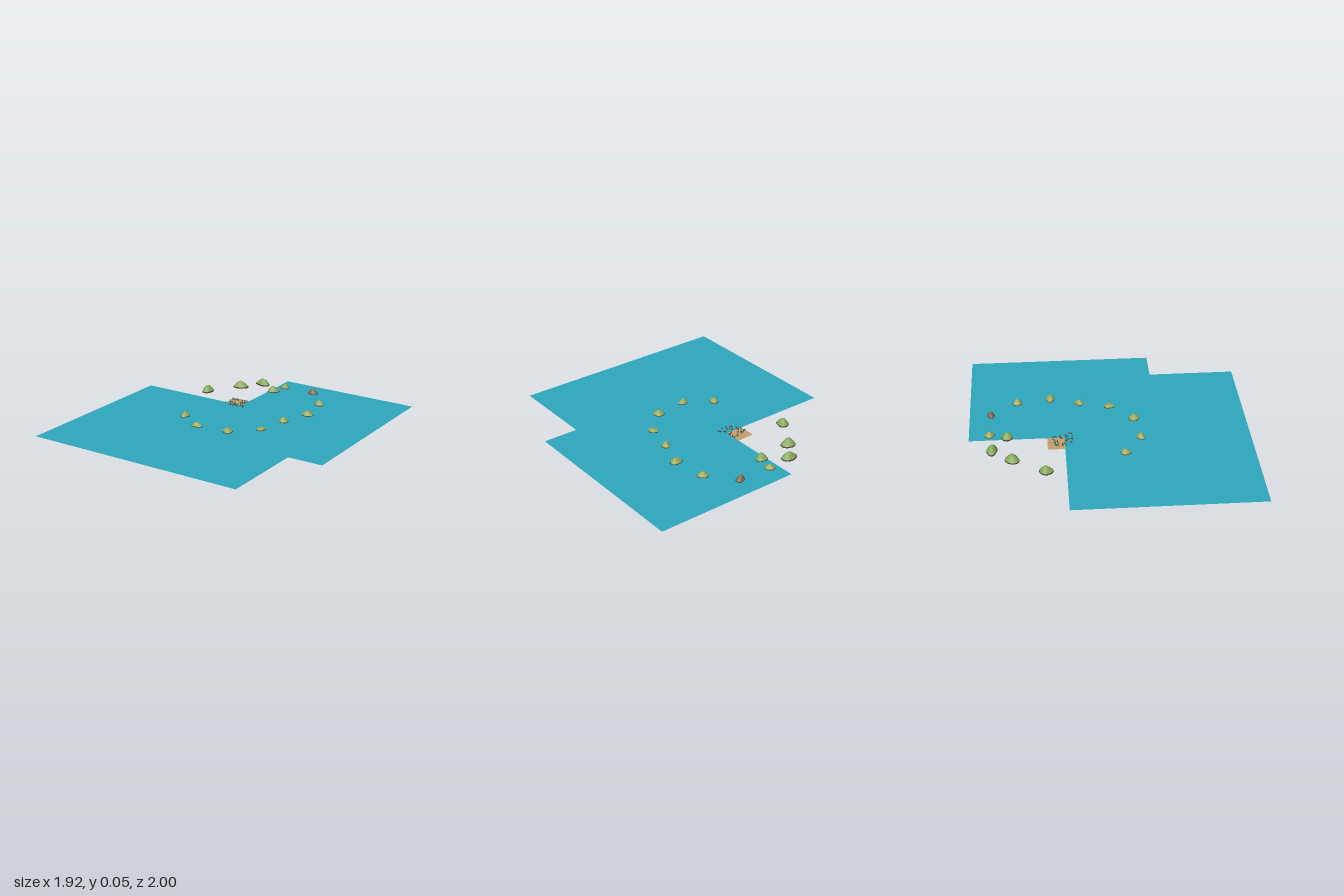
import * as THREE from 'three';

const mat = (name, color, extra = {}) =>
  Object.assign(new THREE.MeshStandardMaterial({ color, ...extra }), { name });

// small seeded generator
function seeded(seed) {
  return () => {
    seed = (seed * 16807) % 2147483647;
    return seed / 2147483647;
  };
}

export function createModel() {
  const group = new THREE.Group();
  const rand = seeded(4211);
  const water = mat('water blue', 0x2ea9bd, { side: THREE.DoubleSide });
  const sand = mat('sand', 0xc79f6b, { side: THREE.DoubleSide });
  const grass = mat('grass green', 0x86a85a);
  const dryGrass = mat('dry grass', 0x9ca85c);
  const earth = mat('earth brown', 0x5c4838);
  const stone = mat('bare stone', 0x7d7052);
  const teal = mat('teal fleck', 0x2f8f86);

  const add = (name, geometry, material, parent = group) => {
    const mesh = new THREE.Mesh(geometry, material);
    mesh.name = name;
    parent.add(mesh);
    return mesh;
  };

  // flat sheet of water with two notched corners, given as x, z
  const outline = [[-0.958, 1], [0.7, 1], [0.7, 0.366], [0.958, 0.366],
    [0.958, -1], [-0.116, -1], [-0.116, -0.323], [-0.958, -0.323]];
  const sheet = new THREE.Shape(outline.map(([x, z]) => new THREE.Vector2(x, -z)));
  add('waterSheet', new THREE.ShapeGeometry(sheet).rotateX(-Math.PI / 2), water).position.y = 0.006;

  // square sand patch, partly under the water
  const patch = add('sandPatch', new THREE.PlaneGeometry(0.22, 0.22).rotateX(-Math.PI / 2), sand);
  patch.position.set(-0.142, 0.002, -0.335);

  // solid of revolution bent into an irregular outline
  function mound(profile, rx, rz, phase, lean) {
    const g = new THREE.LatheGeometry(profile.map(([r, y]) => new THREE.Vector2(r, y)), 14);
    const p = g.attributes.position;
    for (let i = 0; i < p.count; i++) {
      const x = p.getX(i), y = p.getY(i), z = p.getZ(i);
      const a = Math.atan2(z, x);
      const w = 0.95 + 0.08 * Math.sin(2 * a + phase) + 0.06 * Math.sin(3 * a - phase * 2);
      p.setXYZ(i, x * w * rx + lean * y * Math.cos(phase), y, z * w * rz + lean * y * Math.sin(phase));
    }
    g.computeVertexNormals();
    return g;
  }

  // ring of islets: x, z, half width, half depth, height, top material
  const islets = [
    [-0.245, -0.835, 0.062, 0.042, 0.052, grass],
    [-0.36, -0.695, 0.058, 0.055, 0.05, grass],
    [-0.515, -0.463, 0.047, 0.049, 0.052, grass],
    [-0.055, -0.853, 0.038, 0.037, 0.036, dryGrass],
    [-0.085, -0.73, 0.045, 0.046, 0.05, grass],
    [0.2, -0.845, 0.041, 0.028, 0.048, stone],
    [0.36, -0.652, 0.043, 0.036, 0.041, dryGrass],
    [0.4, -0.41, 0.045, 0.038, 0.042, dryGrass],
    [0.328, -0.197, 0.036, 0.036, 0.041, dryGrass],
    [0.273, 0.024, 0.038, 0.04, 0.026, dryGrass],
    [0.1, 0.19, 0.041, 0.043, 0.038, dryGrass],
    [-0.14, 0.217, 0.043, 0.033, 0.038, dryGrass],
    [-0.333, 0.095, 0.036, 0.037, 0.04, dryGrass],
  ];
  islets.forEach(([x, z, rx, rz, h, top], i) => {
    const islet = new THREE.Group();
    islet.name = 'islet' + (i + 1);
    islet.position.set(x, 0, z);
    const phase = i * 1.9 + 0.6, rim = 0.011;
    add('isletBase', mound([[0, 0], [0.94, 0], [1.02, 0.005], [0.96, rim]], rx, rz, phase, 0.1), earth, islet);
    add('isletTop', mound([[0.96, rim], [0.8, h * 0.42], [0.52, h * 0.72], [0.24, h * 0.94], [0, h]],
      rx, rz, phase, 0.1), top, islet);
    group.add(islet);
  });

  // pebbles and flecks strewn over the sand patch
  const pebble = new THREE.IcosahedronGeometry(0.0065, 0);
  const fleck = new THREE.BoxGeometry(0.008, 0.008, 0.008);
  for (let i = 0; i < 42; i++) {
    const isFleck = i % 3 === 0;
    const m = add(isFleck ? 'fleck' : 'pebble', isFleck ? fleck : pebble, isFleck ? teal : earth);
    m.position.set(-0.235 + 0.165 * rand(), 0.013 + 0.008 * rand(), -0.41 + 0.145 * rand());
    m.rotation.y = rand() * 3;
  }
  return group;
}
